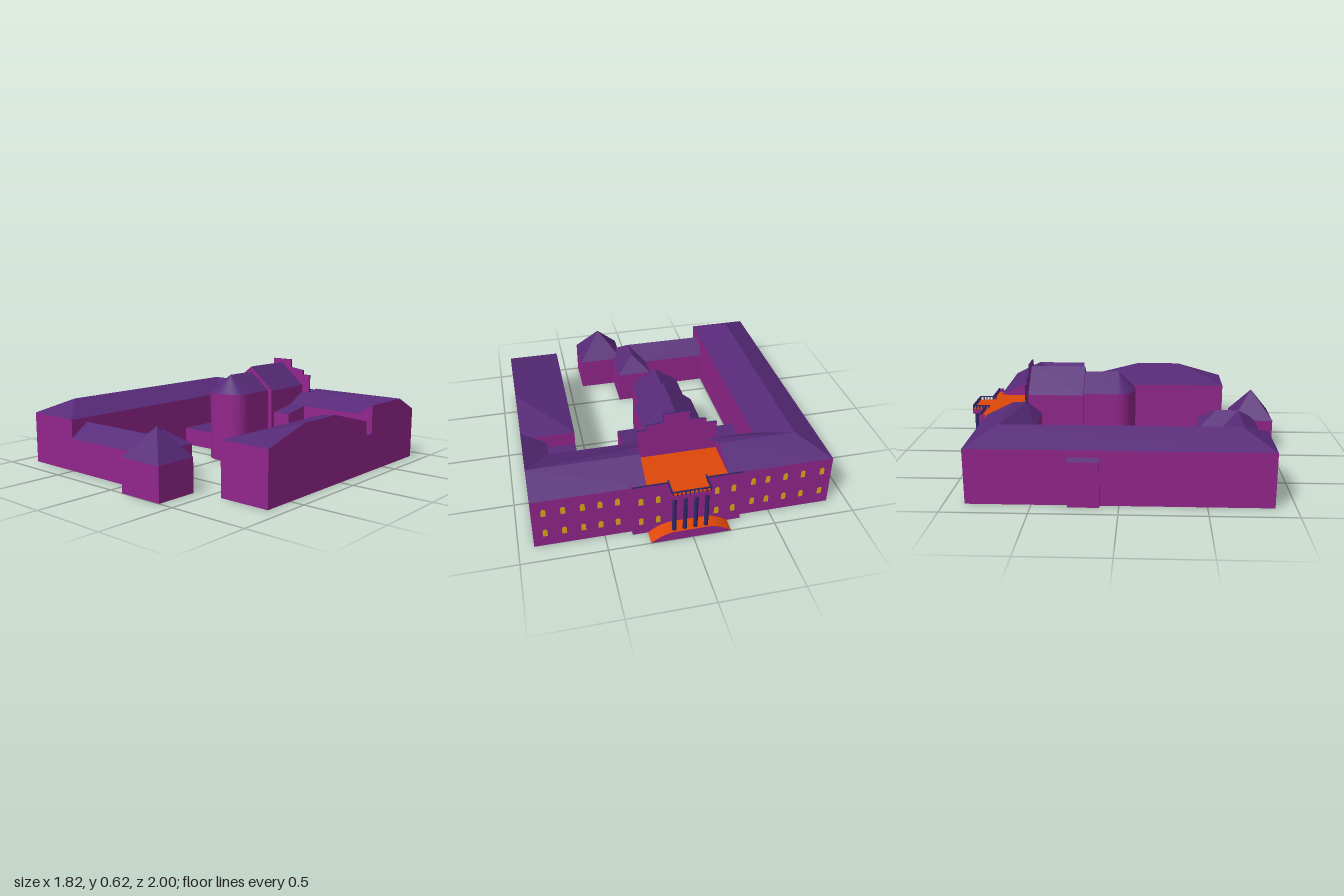
import * as THREE from 'three';

const mat = (name, color) => new THREE.MeshStandardMaterial({ name, color, side: THREE.DoubleSide });

export function createModel() {
  const root = new THREE.Group();
  root.name = 'courtyardBuilding';
  const wall = mat('magentaWall', 0x92268c);
  const roof = mat('purpleRoof', 0x572a78);
  const deck = mat('orangeTerrace', 0xe04808);
  const trim = mat('darkTrim', 0x30286a);
  const glass = mat('yellowWindow', 0xe0aa18);

  // Flat polygons, fan triangulated; "up" turns them to face the sky
  const surface = (name, polys, material, up, parent = root) => {
    const pos = [];
    const V = (p) => new THREE.Vector3(...p);
    for (let poly of polys) {
      const n = V(poly[1]).sub(V(poly[0])).cross(V(poly[2]).sub(V(poly[0])));
      if (up && n.y < 0) poly = [...poly].reverse();
      for (let i = 1; i < poly.length - 1; i++) pos.push(...poly[0], ...poly[i], ...poly[i + 1]);
    }
    const g = new THREE.BufferGeometry();
    g.setAttribute('position', new THREE.Float32BufferAttribute(pos, 3));
    g.computeVertexNormals();
    const m = new THREE.Mesh(g, material);
    m.name = name;
    parent.add(m);
  };

  // Walls follow a loop of [x, z, top, bottom of the next wall]; roof faces are lists of [x, y, z]
  const building = (name, loop, roofs) => {
    const group = new THREE.Group();
    group.name = name;
    root.add(group);
    const quads = loop.map(([x, z, h, low = 0], i) => {
      const [x2, z2, h2] = loop[(i + 1) % loop.length];
      return [[x, low, z], [x2, low, z2], [x2, h2, z2], [x, h, z]];
    });
    surface(name + 'Walls', quads, wall, false, group);
    surface(name + 'Roof', roofs, roof, true, group);
  };
  const rect = (x0, x1, z0, z1, h) => [[x0, z1, h], [x1, z1, h], [x1, z0, h], [x0, z0, h]];
  const flat = (r) => r.map(([x, z, h]) => [x, h, z]);

  const box = (name, x0, x1, y0, y1, z0, z1, material) => {
    const m = new THREE.Mesh(new THREE.BoxGeometry(x1 - x0, y1 - y0, z1 - z0), material);
    m.position.set((x0 + x1) / 2, (y0 + y1) / 2, (z0 + z1) / 2);
    m.name = name;
    root.add(m);
  };

  // Main L-shaped building: side wing and back wing
  const E = 0.33, R = 0.42;
  const e = (x, z) => [x, E, z];
  const r = (x, z) => [x, R, z];
  const hallLeft = [-0.17, 0.405, -0.62], hallRight = [0.19, 0.405, -0.62];
  building('mainWings', [
    [-0.88, 0.88, E], [-0.5, 0.88, E], [-0.5, -0.53, E, 0.12], [-0.17, -0.53, E, E], [0.19, -0.47, E],
    [0.76, -0.47, E], [0.76, -0.35, E], [0.91, -0.35, R], [0.91, -0.7, R], [0.91, -0.88, E], [-0.88, -0.88, E],
  ], [
    [e(-0.88, 0.88), r(-0.7, 0.7), r(-0.7, -0.7), e(-0.88, -0.88)],
    [e(-0.88, 0.88), e(-0.5, 0.88), r(-0.7, 0.7)],
    [e(-0.5, 0.88), r(-0.7, 0.7), r(-0.7, -0.7), e(-0.5, -0.53)],
    [e(-0.88, -0.88), r(-0.7, -0.7), r(-0.23, -0.7), e(-0.23, -0.88)],
    [r(-0.7, -0.7), r(-0.23, -0.7), [-0.23, 0.405, -0.62], hallLeft],
    [r(-0.7, -0.7), hallLeft, e(-0.17, -0.53), e(-0.5, -0.53)],
    [e(0.25, -0.88), r(0.25, -0.7), r(0.91, -0.7), e(0.91, -0.88)],
    [r(0.91, -0.7), r(0.25, -0.7), [0.25, 0.405, -0.62], hallRight],
    [r(0.91, -0.7), hallRight, e(0.19, -0.47), e(0.76, -0.47)],
    [e(0.76, -0.47), r(0.91, -0.7), r(0.91, -0.35), e(0.76, -0.35)],
  ]);
  // Gable ends beside the terrace
  surface('terraceGables', [-0.23, 0.25].map((x) =>
    [[x, E, -0.88], [x, R, -0.7], [x, 0.405, -0.62], [x, E, -0.62]]), wall);

  // Right wing with a half-hipped shed roof, and its low link
  building('rightWing', [
    [0.58, 0.7, E], [0.91, 0.7, E], [0.91, 0.38, R], [0.91, 0.07, R], [0.91, -0.285, E], [0.58, -0.285, E],
  ], [
    [e(0.58, 0.7), e(0.91, 0.7), r(0.91, 0.38)],
    [e(0.58, 0.7), r(0.91, 0.38), r(0.91, 0.07), e(0.58, -0.285)],
    [e(0.58, -0.285), r(0.91, 0.07), e(0.91, -0.285)],
  ]);
  const link = rect(0.58, 0.91, -0.47, -0.285, 0.24);
  building('lowLink', link, [flat(link)]);

  // Low front wing turning into the courtyard
  const L = 0.21, T = 0.3;
  building('frontWing', [
    [-0.5, 0.88, L], [0.16, 0.88, L], [0.16, 0.49, L], [-0.07, 0.49, L], [-0.07, 0.64, L], [-0.5, 0.64, L],
  ], [
    [[-0.5, L, 0.88], [0.16, L, 0.88], [0.04, T, 0.76], [-0.5, T, 0.76]],
    [[-0.5, L, 0.64], [-0.07, L, 0.64], [0.04, T, 0.76], [-0.5, T, 0.76]],
    [[0.16, L, 0.88], [0.16, L, 0.49], [0.04, T, 0.61], [0.04, T, 0.76]],
    [[-0.07, L, 0.64], [-0.07, L, 0.49], [0.04, T, 0.61], [0.04, T, 0.76]],
    [[-0.07, L, 0.49], [0.16, L, 0.49], [0.04, T, 0.61]],
  ]);

  // Corner pavilion with pyramid roof
  const pav = rect(0.1, 0.4, 0.73, 1, L);
  const pavTop = flat(pav);
  building('pavilion', pav, pavTop.map((p, i) => [p, pavTop[(i + 1) % 4], [0.25, 0.39, 0.865]]));

  // Side porch and courtyard annexes
  const porch = [[-0.91, -0.11, 0.27], [-0.86, -0.11, 0.3], [-0.86, -0.29, 0.3], [-0.91, -0.29, 0.27]];
  building('sidePorch', porch, [flat(porch)]);
  const low = [[-0.5, -0.14, 0.12], [-0.13, -0.14, 0.12], [-0.13, -0.53, 0.12, 0.12], [-0.5, -0.53, 0.12, 0.12]];
  building('courtyardAnnex', low, [flat(low)]);
  const annex = [[0.19, -0.29, 0.3], [0.31, -0.29, 0.3], [0.31, -0.47, E], [0.19, -0.47, E]];
  building('smallAnnex', annex, [flat(annex)]);

  // Tall gabled hall
  building('hall', [
    [-0.17, -0.26, 0.45], [0.01, -0.26, 0.6], [0.19, -0.26, 0.45], [0.19, -0.615, 0.45], [-0.17, -0.615, 0.45],
  ], [-0.17, 0.19].map((x) => [[x, 0.45, -0.26], [0.01, 0.6, -0.26], [0.01, 0.6, -0.615], [x, 0.45, -0.615]]));

  // Rounded apse with a half-cone roof
  const arc = [];
  for (let i = 0; i <= 20; i++) {
    const a = Math.PI * (1 - i / 20);
    arc.push([0.0125 + 0.1475 * Math.cos(a), -0.04 + 0.11 * Math.sin(a), 0.45]);
  }
  const apex = [0.0125, 0.565, -0.04];
  const apseRoof = arc.slice(0, -1).map((p, i) => [...flat([p, arc[i + 1]]), apex]);
  for (const x of [-0.135, 0.16])
    apseRoof.push([[x, 0.45, -0.04], apex, [0.0125, 0.565, -0.26], [x, 0.45, -0.26]]);
  building('apse', [...arc, [0.16, -0.26, 0.45, 0.45], [-0.135, -0.26, 0.45]], apseRoof);

  // Stepped parapet behind the terrace
  const outline = [[-0.23, 0.33], [0.25, 0.33], [0.25, 0.525], [0.195, 0.525], [0.195, 0.555], [0.09, 0.57], [0.09, 0.625],
    [-0.065, 0.625], [-0.065, 0.57], [-0.165, 0.555], [-0.165, 0.525], [-0.23, 0.525]];
  const step = new THREE.ExtrudeGeometry(new THREE.Shape(outline.map((p) => new THREE.Vector2(...p))),
    { depth: 0.01, bevelEnabled: false });
  const parapet = new THREE.Mesh(step, [wall, trim]);
  parapet.name = 'steppedParapet';
  parapet.position.z = -0.625;
  root.add(parapet);

  // Terrace deck and projecting back bay
  box('terraceDeck', -0.23, 0.25, 0.325, 0.334, -0.9, -0.625, deck);
  box('bayDeck', -0.3, 0.33, 0.325, 0.333, -0.905, -0.875, deck);
  box('backBay', -0.31, 0.34, 0, 0.325, -0.91, -0.875, wall);
  for (const [x0, x1] of [[-0.31, -0.1], [0.13, 0.34]]) {
    box('bayParapet', x0, x1, 0.325, 0.352, -0.91, -0.904, wall);
    box('bayCoping', x0, x1, 0.352, 0.358, -0.911, -0.904, trim);
  }
  for (const x of [-0.31, 0.334]) box('bayReturn', x, x + 0.006, 0.325, 0.356, -0.904, -0.875, wall);

  // Portico: slab, columns and balustrade
  box('porticoSlab', -0.1, 0.13, 0.3, 0.328, -0.997, -0.905, wall);
  box('porticoDeck', -0.095, 0.125, 0.328, 0.334, -0.992, -0.9, deck);
  box('backRail', -0.1, 0.13, 0.35, 0.358, -0.997, -0.991, trim);
  for (const x of [-0.1, 0.124]) box('sideRail', x, x + 0.006, 0.35, 0.358, -0.991, -0.885, trim);
  for (let i = 0; i < 10; i++) {
    const x = -0.096 + i * 0.0243;
    box('baluster', x - 0.003, x + 0.003, 0.328, 0.35, -0.997, -0.991, trim);
  }
  for (const x of [-0.097, 0.127]) for (let i = 0; i < 5; i++)
    box('baluster', x - 0.003, x + 0.003, 0.328, 0.35, -0.975 + i * 0.02, -0.969 + i * 0.02, trim);
  for (let i = 0; i < 4; i++) {
    const c = new THREE.Mesh(new THREE.CylinderGeometry(0.012, 0.013, 0.24, 12), trim);
    c.position.set(-0.08 + i * 0.0633, 0.18, -0.977);
    c.name = 'column';
    root.add(c);
  }

  // Curved entrance ramp: orange drive on a magenta base
  const ramp = new THREE.Shape();
  ramp.moveTo(-0.23, 0);
  ramp.quadraticCurveTo(-0.17, 0.05, -0.1, 0.06);
  ramp.lineTo(0.12, 0.06);
  ramp.quadraticCurveTo(0.19, 0.05, 0.25, 0);
  const rampMesh = new THREE.Mesh(
    new THREE.ExtrudeGeometry(ramp, { depth: 0.09, bevelEnabled: false, curveSegments: 8 }), [wall, deck]);
  rampMesh.position.z = -1;
  rampMesh.name = 'entranceRamp';
  root.add(rampMesh);

  // Two rows of arched back windows
  const pane = new THREE.Shape();
  pane.moveTo(-0.014, -0.025);
  pane.lineTo(0.014, -0.025);
  pane.lineTo(0.014, 0.014);
  pane.absarc(0, 0.012, 0.014, 0, Math.PI);
  const paneGeometry = new THREE.ShapeGeometry(pane, 4).rotateY(Math.PI);
  const windows = (xs, z) => {
    for (const x of xs) for (const y of [0.095, 0.245]) {
      const w = new THREE.Mesh(paneGeometry, glass);
      w.position.set(x, y, z - 0.0015);
      w.name = 'window';
      root.add(w);
    }
  };
  windows([-0.82, -0.7, -0.59, -0.48, -0.39, 0.42, 0.52, 0.62, 0.73, 0.84], -0.88);
  windows([-0.26, -0.16, 0.19, 0.29], -0.91);

  return root;
}
